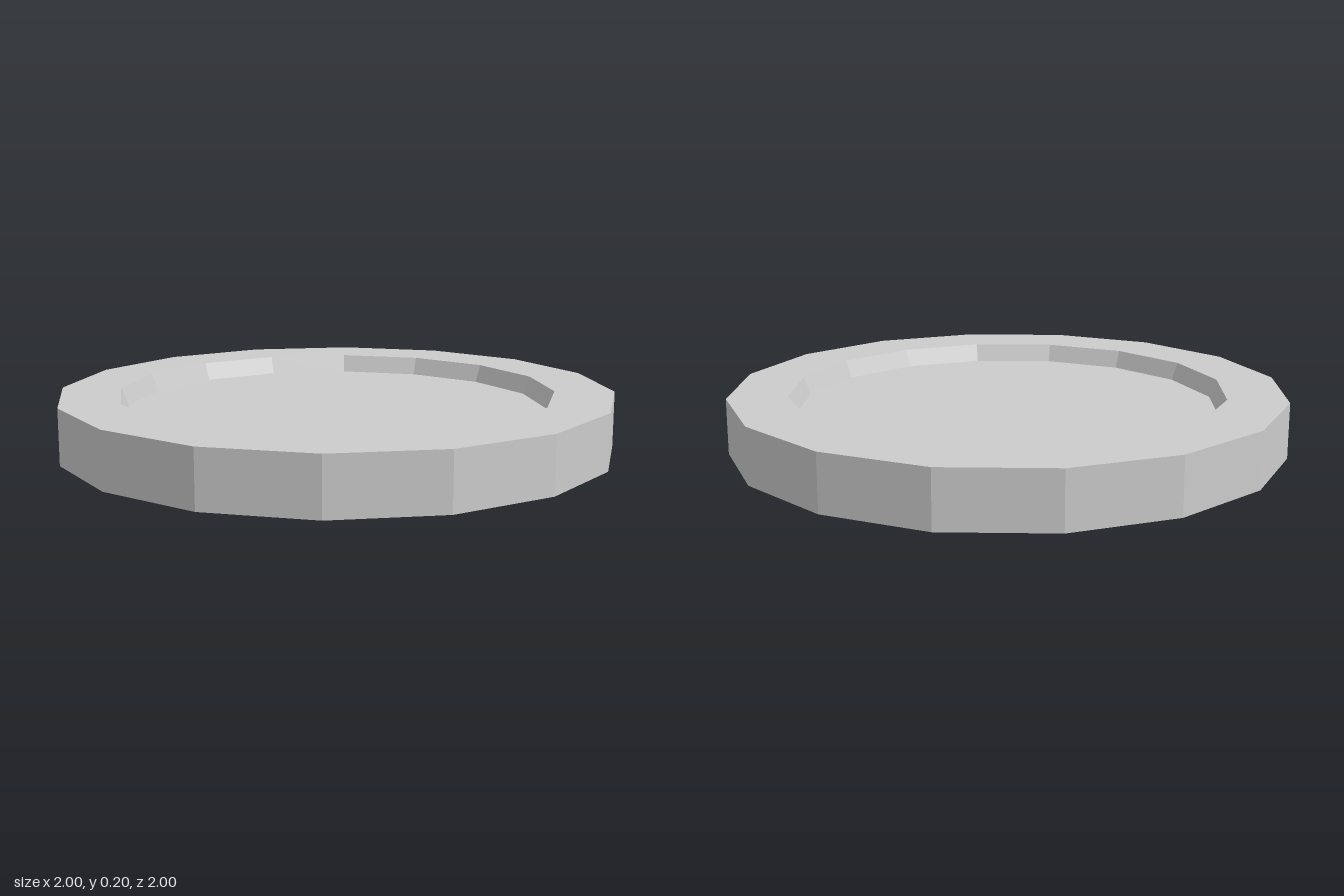
import * as THREE from 'three';

export function createModel() {
  const group = new THREE.Group();
  group.name = 'disc';

  const height = 0.2, rim = 1, opening = 0.785, floor = 0.76, depth = 0.065;

  // Closed half-section: recessed underside, raised rim, recessed top
  const profile = [
    [0, depth], [floor, depth], [opening, 0], [rim, 0],
    [rim, height], [opening, height], [floor, height - depth], [0, height - depth],
  ].map(([r, y]) => new THREE.Vector2(r, y));

  // Sixteen-sided faceted disc
  const disc = new THREE.Mesh(
    new THREE.LatheGeometry(profile, 16),
    new THREE.MeshStandardMaterial({ color: 0xcccccc, flatShading: true })
  );
  disc.name = 'rimmedDisc';
  group.add(disc);

  return group;
}
